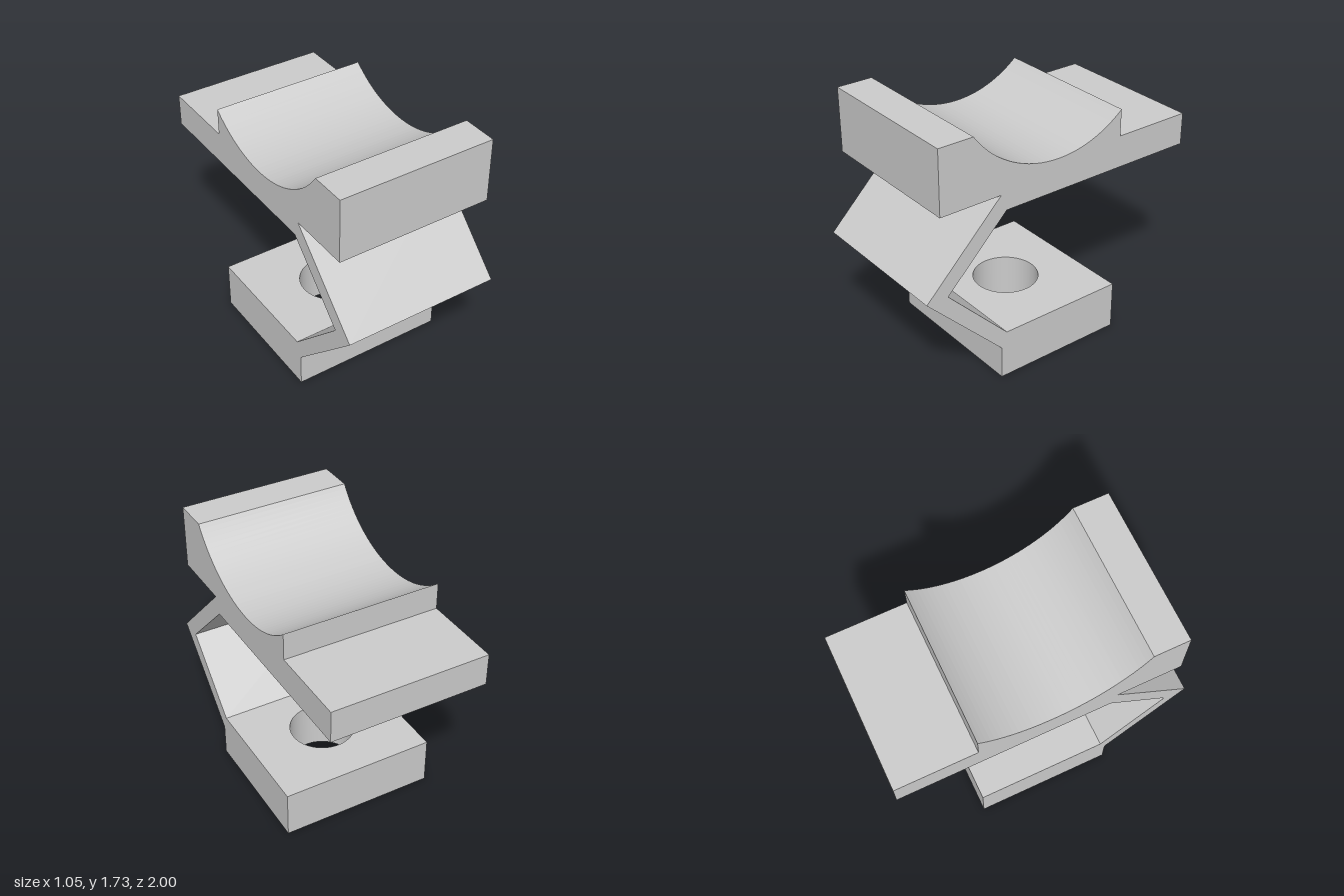
import * as THREE from 'three';

const WIDTH = 1.05;
const BASE_HEIGHT = 0.325;

export function createModel() {
  const model = new THREE.Group();
  model.name = 'cradleStand';
  const material = new THREE.MeshStandardMaterial({ color: 0xcccccc, flatShading: true });

  const addPart = (name, geometry) => {
    const mesh = new THREE.Mesh(geometry, material);
    mesh.name = name;
    model.add(mesh);
  };

  // Base block with a vertical through hole, drawn in plan (x, z)
  const plan = new THREE.Shape();
  const w = WIDTH / 2, d = 0.46;
  plan.moveTo(-w, -d).lineTo(w, -d).lineTo(w, d).lineTo(-w, d).closePath();
  const hole = new THREE.Path();
  hole.absarc(0, 0.025, 0.217, 0, Math.PI * 2, true);
  plan.holes.push(hole);
  const base = new THREE.ExtrudeGeometry(plan, { depth: BASE_HEIGHT, bevelEnabled: false, curveSegments: 72 });
  base.rotateX(Math.PI / 2).translate(0, BASE_HEIGHT, 0);
  addPart('baseBlock', base);

  // Folded strut and cradle as one side profile (z, y), extruded across x
  const side = new THREE.Shape();
  const cz = 0.029, cy = 2.161, r = 0.756;
  const start = Math.atan2(1.73 - cy, 0.65 - cz);
  const end = Math.atan2(1.585 - cy, -0.46 - cz);
  // Outer face of the strut, then the front of the cradle
  side.moveTo(0.46, 0.22).lineTo(1, 0.76).lineTo(0.46, 1.3);
  side.lineTo(0.89, 1.3).lineTo(0.89, 1.73).lineTo(0.65, 1.73);
  // Curved seat
  side.absarc(cz, cy, r, start, end, true);
  // Rear lip, flat tail and underside
  side.lineTo(-0.46, 1.405).lineTo(-1, 1.405).lineTo(-1, 1.19).lineTo(0.42, 1.19);
  // Inner face of the strut down to the base
  side.lineTo(0.85, 0.76).lineTo(0.42, BASE_HEIGHT).lineTo(0.46, BASE_HEIGHT).closePath();
  const cradle = new THREE.ExtrudeGeometry(side, { depth: WIDTH, bevelEnabled: false, curveSegments: 19 });
  cradle.translate(0, 0, -w).rotateY(-Math.PI / 2);
  addPart('strutAndCradle', cradle);

  return model;
}
